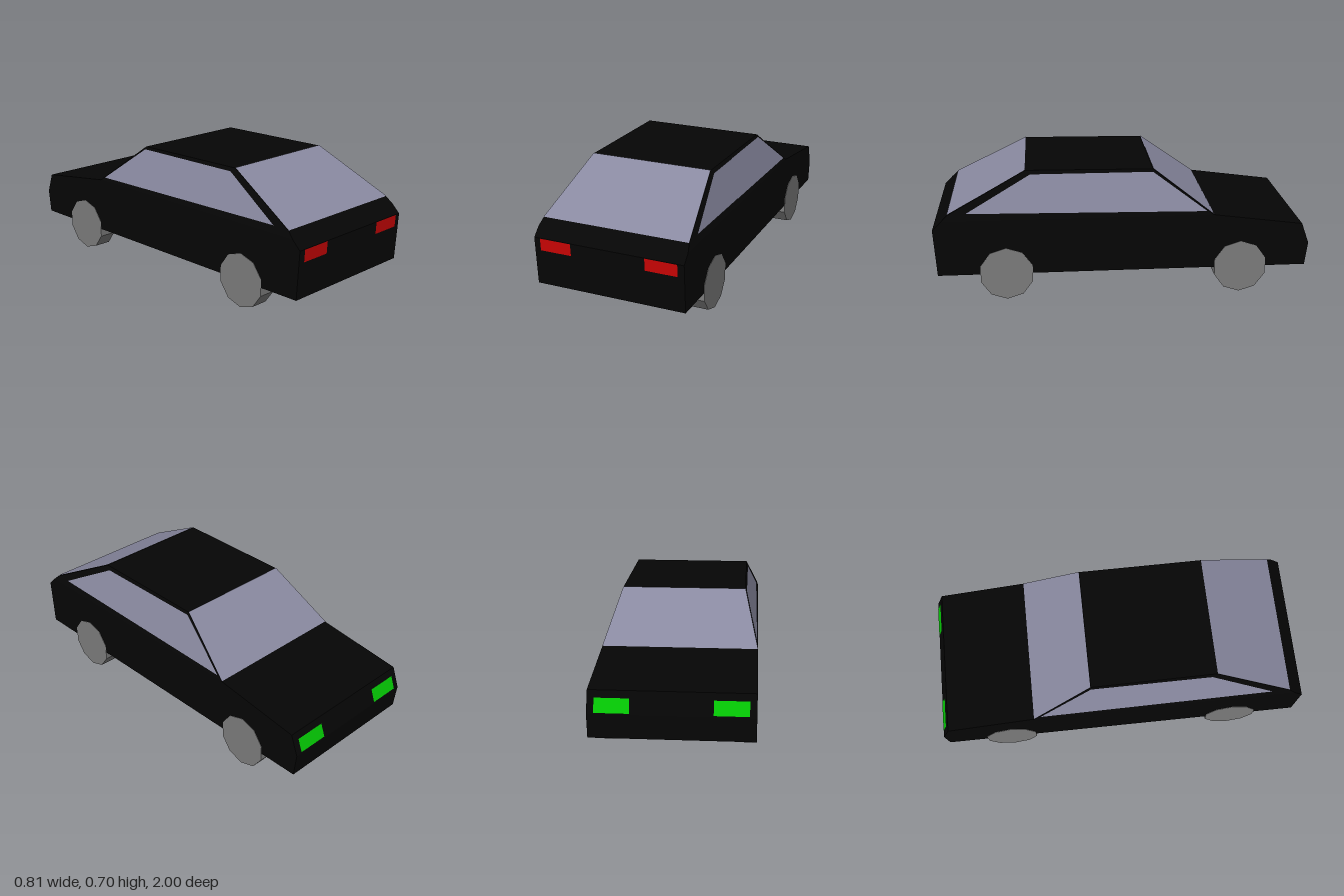
import * as THREE from 'three';

const HALF = 0.404;   // half width of the lower body
const BELT = 0.445;   // height where the sides start leaning in
const LEAN = 0.298;
const sideX = (y) => HALF - Math.max(0, y - BELT) * LEAN;

const mat = (name, color) => {
  const m = new THREE.MeshStandardMaterial({ color });
  m.name = name;
  return m;
};

// Side profile of [z, y] points extruded across the car, leaning in above the belt
function hull(profile) {
  const shape = new THREE.Shape(profile.map(([z, y]) => new THREE.Vector2(z, y)));
  const geo = new THREE.ExtrudeGeometry(shape, { depth: HALF * 2, bevelEnabled: false });
  geo.translate(0, 0, -HALF).rotateY(-Math.PI / 2);
  const p = geo.attributes.position;
  for (let i = 0; i < p.count; i++) p.setX(i, Math.sign(p.getX(i)) * sideX(p.getY(i)));
  geo.computeVertexNormals();
  return geo;
}

// Four-cornered panel (counter-clockwise from outside), raised slightly off the body
function panel(corners) {
  const [a, b, c, d] = corners.map((v) => new THREE.Vector3(...v));
  const n = b.clone().sub(a).cross(d.clone().sub(a)).setLength(0.003);
  const pts = [a, b, c, a, c, d].map((v) => v.clone().add(n));
  const geo = new THREE.BufferGeometry().setFromPoints(pts);
  geo.computeVertexNormals();
  return geo;
}

export function createModel() {
  const car = new THREE.Group();
  car.name = 'car';
  const black = mat('blackPaint', 0x050505);
  const glass = mat('tintedGlass', 0x8989a0);
  const grey = mat('grey', 0x7c7c7c);
  const red = mat('redLight', 0xcb0404);
  const green = mat('greenLight', 0x04cb04);
  const add = (name, geo, material) => {
    const mesh = new THREE.Mesh(geo, material);
    mesh.name = name;
    car.add(mesh);
    return mesh;
  };

  // Body shell
  add('lowerBody', hull([[-0.985, 0.145], [0.985, 0.145], [1, 0.4], [0.955, BELT],
    [-0.48, BELT], [-0.96, 0.38], [-1, 0.27]]), black);
  add('cabin', hull([[-0.48, BELT], [0.955, BELT], [0.92, 0.478], [0.51, 0.693],
    [-0.16, 0.685]]), black);
  add('underside', panel([[-HALF, 0.145, -0.985], [HALF, 0.145, -0.985],
    [HALF, 0.145, 0.985], [-HALF, 0.145, 0.985]]), grey);

  // Glass at both ends of the cabin
  const r = sideX(0.693), s = sideX(0.478), w = sideX(0.685);
  add('redLightEndWindow', panel([[-s, 0.478, 0.92], [s, 0.478, 0.92],
    [r, 0.693, 0.51], [-r, 0.693, 0.51]]), glass);
  add('bonnetEndWindow', panel([[HALF, BELT, -0.48], [-HALF, BELT, -0.48],
    [-w, 0.685, -0.16], [w, 0.685, -0.16]]), glass);

  const sideWindow = [[0.825, 0.483], [-0.445, 0.464], [-0.16, 0.67], [0.485, 0.672]];
  for (const side of [1, -1]) {
    const label = side > 0 ? 'left' : 'right';
    const mirrored = (pts) => {
      const q = pts.map(([x, y, z]) => [x * side, y, z]);
      return panel(side > 0 ? q : q.reverse());
    };
    add(label + 'SideWindow', mirrored(sideWindow.map(([z, y]) => [sideX(y), y, z])), glass);

    // Lights follow the slope of the end faces
    const tailZ = (y) => 0.985 + (y - 0.145) * 0.0588;
    const noseZ = (y) => -1 + (y - 0.27) * 0.364;
    add(label + 'RedLight', mirrored([[0.2, 0.335, tailZ(0.335)], [0.37, 0.335, tailZ(0.335)],
      [0.37, 0.4, tailZ(0.4)], [0.2, 0.4, tailZ(0.4)]]), red);
    add(label + 'GreenLight', mirrored([[0.37, 0.277, noseZ(0.277)], [0.2, 0.277, noseZ(0.277)],
      [0.2, 0.345, noseZ(0.345)], [0.37, 0.345, noseZ(0.345)]]), green);

    // Ten-sided wheels, just proud of the body sides
    for (const z of [0.623, -0.63]) {
      const geo = new THREE.CylinderGeometry(0.145, 0.145, 0.096, 10, 1, false, Math.PI / 2)
        .rotateZ(Math.PI / 2).toNonIndexed();
      geo.computeVertexNormals();
      const wheel = add(label + (z > 0 ? 'RedLightEndWheel' : 'BonnetEndWheel'), geo, grey);
      wheel.position.set(side * 0.358, 0.145, z);
    }
  }
  return car;
}
